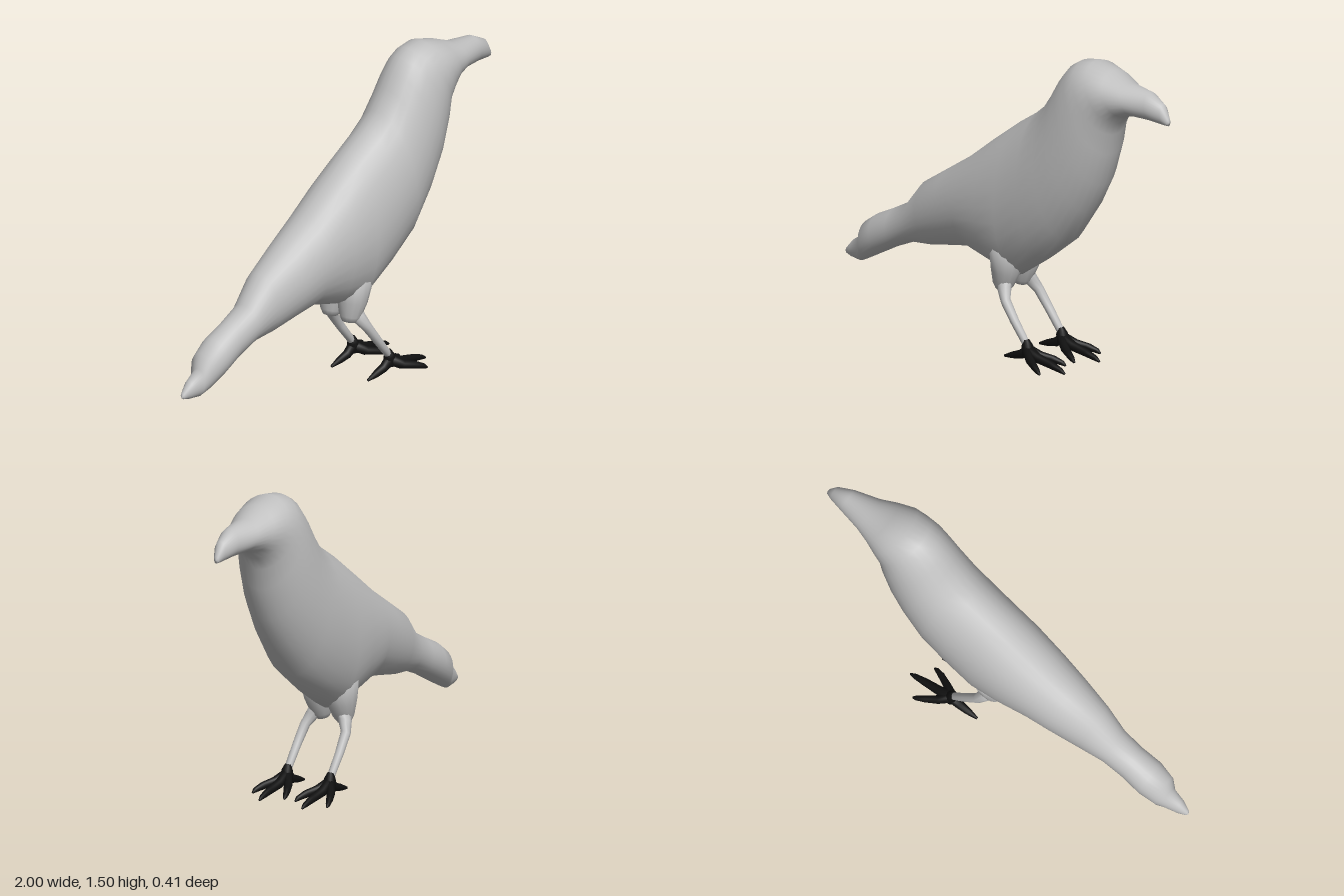
import * as THREE from 'three';

const plumage = new THREE.MeshStandardMaterial({ color: 0xc0c0c0 });
plumage.name = 'pale grey';
const claw = new THREE.MeshStandardMaterial({ color: 0x101010 });
claw.name = 'black';

// Skin over oval rings: [upperX, upperY, lowerX, lowerY, halfWidth, centreZ]
function loft(rings, sides) {
  const pos = [], idx = [];
  rings.forEach(([ux, uy, lx, ly, w, z = 0]) => {
    for (let k = 0; k < sides; k++) {
      const a = (k / sides) * Math.PI * 2, c = Math.cos(a) / 2;
      pos.push((ux + lx) / 2 + (ux - lx) * c, (uy + ly) / 2 + (uy - ly) * c, z + w * Math.sin(a));
    }
  });
  for (let r = 0; r < rings.length - 1; r++) {
    for (let k = 0; k < sides; k++) {
      const a = r * sides + k, b = r * sides + (k + 1) % sides;
      idx.push(a, b, a + sides, b, b + sides, a + sides);
    }
  }
  const g = new THREE.BufferGeometry();
  g.setAttribute('position', new THREE.Float32BufferAttribute(pos, 3));
  g.setIndex(idx);
  g.computeVertexNormals();
  return g;
}

// Tapered limb through points [x, y, z, radius], closed at both ends
function limb(points, sides = 10) {
  const rings = points.map(([x, y, z, r], i) => {
    const p = points[Math.max(i - 1, 0)], q = points[Math.min(i + 1, points.length - 1)];
    const dx = q[0] - p[0], dy = q[1] - p[1], l = Math.hypot(dx, dy) || 1;
    const nx = (-dy / l) * r, ny = (dx / l) * r;
    return [x + nx, y + ny, x - nx, y - ny, r, z];
  });
  const cap = ([ux, uy, lx, ly, , z]) => {
    const x = (ux + lx) / 2, y = (uy + ly) / 2;
    return [x, y, x, y, 0, z];
  };
  return loft([cap(rings[0]), ...rings, cap(rings[rings.length - 1])], sides);
}

function add(parent, name, geometry, material) {
  const m = new THREE.Mesh(geometry, material);
  m.name = name;
  parent.add(m);
}

export function createModel() {
  const bird = new THREE.Group();
  bird.name = 'bird';

  // Tail, body, head and beak in one skin
  add(bird, 'body', loft([
    [-1, 0.22, -1, 0.22, 0],
    [-0.995, 0.24, -0.99, 0.212, 0.012],
    [-0.95, 0.29, -0.96, 0.205, 0.03],
    [-0.89, 0.33, -0.9, 0.2, 0.045],
    [-0.87, 0.40, -0.86, 0.22, 0.07],
    [-0.8, 0.45, -0.77, 0.27, 0.085],
    [-0.7, 0.50, -0.68, 0.32, 0.08],
    [-0.6, 0.555, -0.57, 0.37, 0.085],
    [-0.5, 0.68, -0.45, 0.385, 0.11],
    [-0.35, 0.78, -0.3, 0.42, 0.14],
    [-0.2, 0.88, -0.2, 0.44, 0.16],
    [-0.05, 1.0, -0.05, 0.40, 0.18],
    [0.08, 1.10, 0.09, 0.37, 0.188],
    [0.2, 1.18, 0.25, 0.48, 0.19],
    [0.27, 1.24, 0.4, 0.6, 0.188],
    [0.33, 1.33, 0.52, 0.77, 0.18],
    [0.37, 1.40, 0.6, 0.92, 0.172],
    [0.42, 1.46, 0.65, 1.08, 0.162],
    [0.47, 1.49, 0.67, 1.18, 0.15],
    [0.55, 1.505, 0.7, 1.24, 0.14],
    [0.65, 1.48, 0.74, 1.28, 0.115],
    [0.75, 1.44, 0.8, 1.30, 0.085],
    [0.88, 1.43, 0.9, 1.30, 0.055],
    [0.96, 1.39, 0.97, 1.295, 0.03],
    [0.995, 1.33, 0.995, 1.295, 0.012],
    [1, 1.31, 1, 1.31, 0],
  ], 28), plumage);

  for (const s of [1, -1]) {
    const side = s > 0 ? 'left' : 'right';

    // Thigh bulge under the belly, then the thin shank
    add(bird, side + 'Thigh', limb([
      [0.06, 0.52, 0.06 * s, 0.09], [0.045, 0.4, 0.06 * s, 0.07],
      [0.03, 0.33, 0.06 * s, 0.05], [0.025, 0.305, 0.06 * s, 0.035],
    ], 14), plumage);
    add(bird, side + 'Shank', limb([
      [0.04, 0.38, 0.055 * s, 0.04], [0.06, 0.32, 0.085 * s, 0.034], [0.09, 0.27, 0.11 * s, 0.024],
      [0.15, 0.19, 0.115 * s, 0.021], [0.22, 0.1, 0.115 * s, 0.018],
    ]), plumage);

    // Foot: ankle, three spread front toes and one hind toe
    const foot = new THREE.Group();
    foot.name = side + 'Foot';
    foot.position.z = 0.115 * s;
    bird.add(foot);
    add(foot, 'ankle', limb([[0.222, 0.118, 0, 0.014], [0.228, 0.09, 0, 0.027], [0.235, 0.045, 0, 0.03]]), claw);
    for (const [name, x, z] of [['innerToe', 0.385, -0.085 * s], ['middleToe', 0.46, 0], ['outerToe', 0.385, 0.085 * s]]) {
      const at = (t) => 0.225 + (x - 0.225) * t;
      add(foot, name, limb([
        [at(0), 0.075, 0, 0.026], [at(0.3), 0.045, z * 0.4, 0.022],
        [at(0.65), 0.033, z * 0.75, 0.018], [at(0.9), 0.02, z * 0.95, 0.012], [x, 0.01, z, 0.005],
      ]), claw);
    }
    add(foot, 'hindToe', limb([
      [0.23, 0.07, 0, 0.026], [0.19, 0.04, 0, 0.021], [0.14, 0.025, 0, 0.016], [0.09, 0.01, 0, 0.006],
    ]), claw);
  }
  return bird;
}
